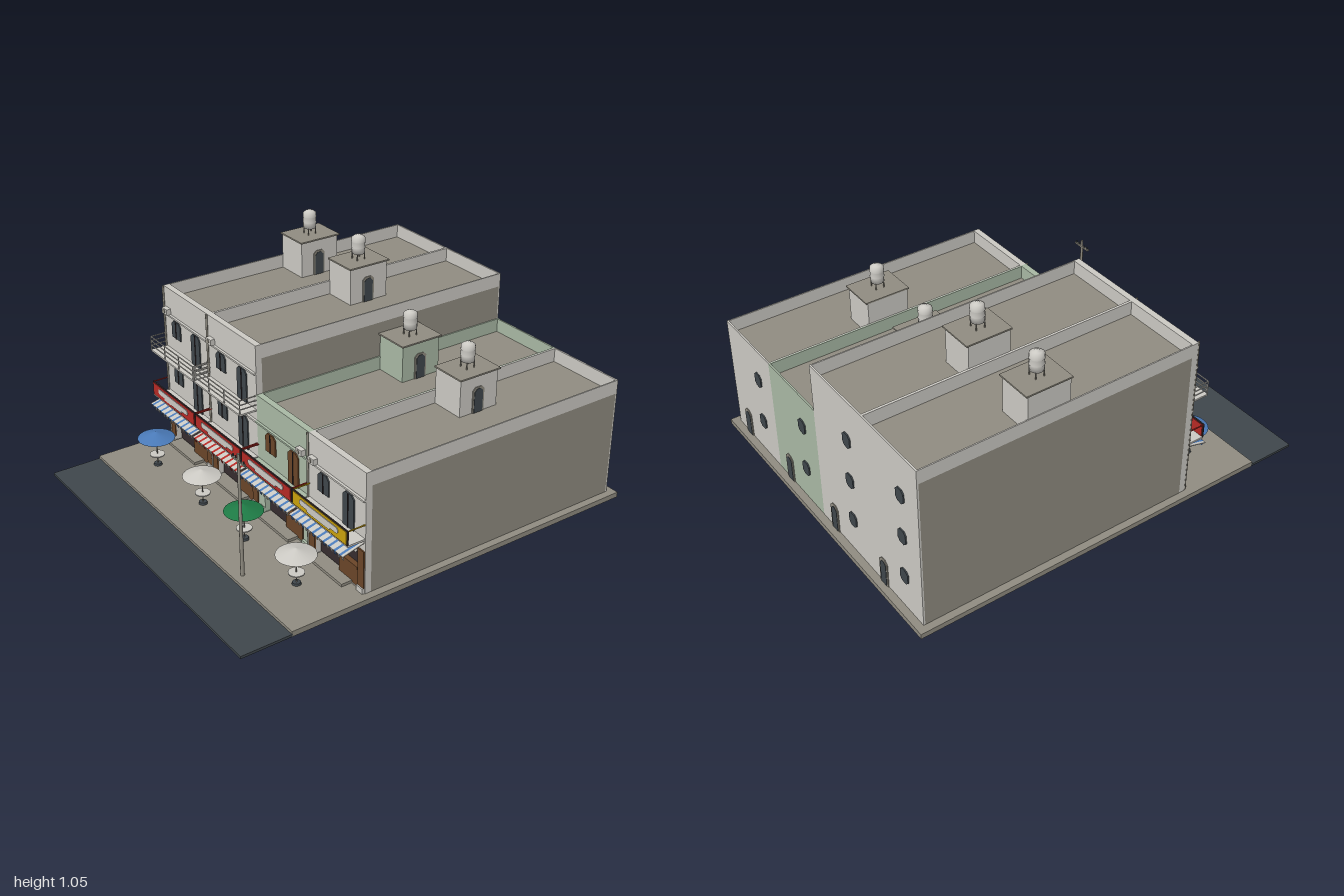
import * as THREE from 'three';

const mat = (name, color, side = THREE.FrontSide) => {
  const m = new THREE.MeshStandardMaterial({ color, side });
  m.name = name;
  return m;
};

export function createModel() {
  const M = {
    wall: mat('pale plaster', 0xcbc9c3),
    green: mat('green plaster', 0xa8b8a4),
    concrete: mat('concrete', 0x8f8b80),
    slate: mat('slate', 0x3f464b),
    dark: mat('dark interior', 0x352c2e),
    brown: mat('brown wood', 0x6a4528),
    red: mat('red', 0xb52a25),
    yellow: mat('yellow', 0xc9a00c),
    blue: mat('blue', 0x4a7ab8, THREE.DoubleSide),
    leaf: mat('deep green', 0x1e7a45, THREE.DoubleSide),
  };
  const model = new THREE.Group();
  model.name = 'shopRow';

  const add = (parent, name, geo, m) => {
    const mesh = new THREE.Mesh(geo, m);
    mesh.name = name;
    parent.add(mesh);
    return mesh;
  };
  // Box given by its minimum and maximum corners
  const box = (parent, name, m, x0, x1, y0, y1, z0, z1) => {
    const mesh = add(parent, name, new THREE.BoxGeometry(x1 - x0, y1 - y0, z1 - z0), m);
    mesh.position.set((x0 + x1) / 2, (y0 + y1) / 2, (z0 + z1) / 2);
    return mesh;
  };
  const cyl = (parent, name, m, rTop, rBottom, x, y0, y1, z, n = 16) => {
    const mesh = add(parent, name, new THREE.CylinderGeometry(rTop, rBottom, y1 - y0, n), m);
    mesh.position.set(x, (y0 + y1) / 2, z);
    return mesh;
  };
  // Plate with cut corners, standing on its base and centred on x = 0
  const plate = (parent, name, m, w, h, cutTop, cutBottom, depth = 0.006) => {
    const a = w / 2, t = cutTop, b = cutBottom;
    const pts = [[-a + b, 0], [a - b, 0], [a, b], [a, h - t], [a - t, h], [-a + t, h], [-a, h - t], [-a, b]];
    const s = new THREE.Shape(pts.map(p => new THREE.Vector2(...p)));
    return add(parent, name, new THREE.ExtrudeGeometry(s, { depth, bevelEnabled: false }), m);
  };

  // Ground
  box(model, 'road', M.slate, -0.82, 0.82, 0, 0.012, 0.76, 1);
  box(model, 'pavement', M.concrete, -0.82, 0.82, 0, 0.025, -1, 0.765);

  const W = 0.3925, BACK = -0.965, FRONT = 0.39;

  const addWindow = (g, name, m, x, y0, y1, w = 0.076) => {
    plate(g, name, m, w, y1 - y0, 0.016, 0).position.set(x, y0, FRONT);
    box(g, name + 'Mullion', M.dark, x - 0.002, x + 0.002, y0, y1, FRONT, FRONT + 0.009);
  };

  const addRoof = (g, roof, wallM) => {
    // Stair house with slab and side door
    const top = roof + 0.172;
    box(g, 'stairHouse', wallM, 0.004, 0.168, roof, top, -0.465, -0.262);
    box(g, 'stairHouseSlab', M.concrete, 0, 0.175, top, top + 0.007, -0.475, -0.255);
    for (const [name, m, w, h, d] of [['stairDoorFrame', M.concrete, 0.062, 0.12, 0.004], ['stairDoor', M.slate, 0.046, 0.112, 0.006]]) {
      const p = plate(g, name, m, w, h, 0.014, 0, d);
      p.rotation.y = Math.PI / 2;
      p.position.set(0.168, roof, -0.36);
    }
    // Water tank on legs
    const y = top + 0.007;
    for (const dx of [-0.02, 0.02]) for (const dz of [-0.02, 0.02])
      cyl(g, 'tankLeg', M.concrete, 0.003, 0.003, 0.088 + dx, y, y + 0.032, -0.363 + dz, 6);
    const profile = [[0, 0], [0.031, 0], [0.031, 0.026], [0.033, 0.028], [0.031, 0.03], [0.031, 0.054],
      [0.033, 0.056], [0.031, 0.058], [0.031, 0.075], [0.02, 0.083], [0.01, 0.085], [0.009, 0.089], [0, 0.09]];
    add(g, 'waterTank', new THREE.LatheGeometry(profile.map(p => new THREE.Vector2(...p)), 20), M.wall)
      .position.set(0.088, y + 0.03, -0.363);
  };

  const addAwning = (g, stripeM) => {
    const awning = new THREE.Group();
    awning.name = 'awning';
    const n = 30, w = (W - 0.012) / n;
    for (let i = 0; i < n; i++) {
      const m = i % 3 === 1 ? stripeM : M.wall, x = 0.006 + i * w;
      const strip = box(awning, 'awningStrip', m, x, x + w, -0.002, 0.002, 0, 0.114);
      strip.geometry.translate(0, 0, 0.057);
      strip.position.z = 0;
      // Hanging fringe with gaps
      if (i % 2) box(awning, 'awningFringe', m, x, x + w * 0.8, -0.02, 0, 0.11, 0.113);
    }
    awning.position.set(0, 0.268, FRONT - 0.004);
    awning.rotation.x = 0.25;
    g.add(awning);
  };

  const addUnit = (i, { tall, wallM, signM, stripeM, windowM, pilasterM, acX }) => {
    const g = new THREE.Group();
    g.name = 'shopHouse' + (i + 1);
    g.position.x = -0.785 + i * W;
    model.add(g);
    const top = tall ? 0.82 : 0.59, roof = top - 0.065;

    // Body, parapets and rear wall
    box(g, 'body', M.concrete, 0, W, 0.025, roof, BACK + 0.008, 0.36);
    box(g, 'rearWall', wallM, 0, W, 0.025, top, BACK, BACK + 0.008);
    box(g, 'leftParapet', wallM, W - 0.006, W, roof, top, BACK + 0.008, 0.36);
    box(g, 'rightParapet', wallM, 0, 0.006, roof, top, BACK + 0.008, 0.36);

    // Front wall with the shop opening
    const s = new THREE.Shape([[0, 0.025], [W, 0.025], [W, top], [0, top]].map(p => new THREE.Vector2(...p)));
    s.holes.push(new THREE.Path([[0.047, 0.03], [0.047, 0.228], [0.345, 0.228], [0.345, 0.03]].map(p => new THREE.Vector2(...p))));
    add(g, 'frontWall', new THREE.ExtrudeGeometry(s, { depth: 0.03, bevelEnabled: false }), wallM).position.z = 0.36;

    // Shopfront
    box(g, 'shopInterior', M.dark, 0.047, 0.345, 0.03, 0.228, 0.36, 0.364);
    box(g, 'shopCounter', M.brown, 0.21, 0.335, 0.03, 0.12, 0.364, 0.388);
    plate(g, 'shopPlaque', M.wall, 0.23, 0.036, 0.012, 0.012).position.set(0.195, 0.167, 0.364);
    for (const x of [0.004, 0.347]) {
      if (pilasterM !== wallM) box(g, 'pilaster', pilasterM, x, x + 0.042, 0.05, 0.226, FRONT, FRONT + 0.006);
      box(g, 'plinth', wallM, x, x + 0.042, 0.025, 0.05, FRONT, FRONT + 0.012);
    }
    box(g, 'shopStep', M.concrete, 0.06, 0.3, 0.025, 0.038, 0.37, 0.44);
    box(g, 'meterBox', M.concrete, 0.008, 0.03, 0.152, 0.178, FRONT, FRONT + 0.012);

    // First floor balcony with sign board
    box(g, 'balconySlab', wallM, 0.003, W - 0.003, 0.278, 0.287, FRONT, 0.475);
    box(g, 'signBacking', M.dark, 0.003, W - 0.003, 0.284, 0.354, 0.47, 0.476);
    box(g, 'signBoard', signM, 0.008, W - 0.008, 0.289, 0.349, 0.474, 0.479);
    box(g, 'signBack', signM, 0.008, W - 0.008, 0.289, 0.349, 0.467, 0.471);
    plate(g, 'signPanel', M.wall, 0.27, 0.026, 0.008, 0.008, 0.003).position.set(W / 2, 0.312, 0.479);
    plate(g, 'signPanelLower', M.wall, 0.16, 0.011, 0.003, 0.003, 0.003).position.set(W / 2, 0.302, 0.479);
    for (const x of [0.003, W - 0.007])
      box(g, 'balconySideRail', signM, x, x + 0.004, 0.349, 0.354, FRONT, 0.47);
    addAwning(g, stripeM);

    // Windows, balcony doors and ledges
    addWindow(g, 'window', windowM, 0.108, 0.355, 0.445);
    addWindow(g, 'balconyDoor', windowM, 0.281, 0.287, 0.445);
    box(g, 'ledge', wallM, 0, W, 0.46, 0.468, FRONT, FRONT + 0.012);
    if (tall) {
      addWindow(g, 'upperWindow', windowM, 0.108, 0.59, 0.674);
      addWindow(g, 'upperBalconyDoor', windowM, 0.281, 0.52, 0.674);
      box(g, 'upperLedge', wallM, 0, W, 0.685, 0.693, FRONT, FRONT + 0.012);
      box(g, 'upperBalconySlab', wallM, 0.003, W - 0.003, 0.51, 0.518, FRONT, 0.475);
      for (const y of [0.54, 0.562, 0.584]) {
        box(g, 'frontRail', M.wall, 0.003, W - 0.003, y - 0.002, y + 0.002, 0.471, 0.475);
        for (const x of [0.003, W - 0.007]) box(g, 'sideRail', M.wall, x, x + 0.004, y - 0.002, y + 0.002, FRONT, 0.471);
      }
      for (let k = 0; k < 4; k++) {
        const x = 0.003 + k * (W - 0.01) / 3;
        box(g, 'railPost', M.wall, x, x + 0.004, 0.518, 0.584, 0.471, 0.475);
      }
    }

    // Air conditioner
    const ay = tall ? 0.693 : 0.468;
    box(g, 'airConditioner', M.wall, acX, acX + 0.042, ay, ay + 0.028, FRONT, 0.412);
    const fan = cyl(g, 'airConditionerFan', M.concrete, 0.01, 0.01, acX + 0.018, ay + 0.012, ay + 0.016, 0.412);
    fan.rotation.x = Math.PI / 2;

    // Rear door and windows
    const rear = (name, m, x, y, w, h, t, b, d) => {
      const p = plate(g, name, m, w, h, t, b, d);
      p.rotation.y = Math.PI;
      p.position.set(x, y, BACK);
    };
    rear('rearDoorFrame', M.concrete, 0.286, 0.025, 0.06, 0.135, 0.018, 0, 0.004);
    rear('rearDoor', M.slate, 0.286, 0.025, 0.042, 0.122, 0.013, 0, 0.006);
    for (const y of tall ? [0.165, 0.375, 0.585] : [0.165, 0.395])
      rear('rearWindow', M.slate, 0.122, y, 0.056, 0.068, 0.014, 0.014, 0.006);

    addRoof(g, roof, wallM);
  };

  const pale = { wallM: M.wall, windowM: M.slate, pilasterM: M.brown };
  [
    { ...pale, tall: true, signM: M.red, stripeM: M.blue, acX: 0.015 },
    { ...pale, tall: true, signM: M.red, stripeM: M.red, acX: 0.015 },
    { wallM: M.green, windowM: M.brown, pilasterM: M.green, tall: false, signM: M.red, stripeM: M.blue, acX: 0.325 },
    { ...pale, tall: false, signM: M.yellow, stripeM: M.blue, acX: 0.02 },
  ].forEach((u, i) => addUnit(i, u));

  // Drain pipes between the houses
  for (const [x, h] of [[-0.779, 0.82], [-0.39, 0.82], [0.392, 0.59]])
    cyl(model, 'drainPipe', M.concrete, 0.005, 0.005, x, 0.025, h, 0.396, 8);

  // Tables with umbrellas
  [[-0.592, M.blue], [-0.178, M.wall], [0.17, M.leaf], [0.568, M.wall]].forEach(([x, m], i) => {
    const t = new THREE.Group();
    t.name = 'umbrellaTable' + (i + 1);
    t.position.set(x, 0, 0.575);
    model.add(t);
    cyl(t, 'umbrellaBase', M.slate, 0.018, 0.02, 0, 0.025, 0.035, 0);
    cyl(t, 'umbrellaPole', M.concrete, 0.003, 0.003, 0, 0.035, 0.195, 0, 8);
    cyl(t, 'tableTop', M.wall, 0.035, 0.035, 0, 0.078, 0.083, 0, 20);
    cyl(t, 'umbrellaCanopy', m, 0.002, 0.087, 0, 0.168, 0.198, 0, 24);
  });

  // Utility pole
  cyl(model, 'utilityPole', M.concrete, 0.006, 0.009, 0.39, 0.025, 0.6, 0.722, 10);
  box(model, 'poleCrossarm', M.concrete, 0.342, 0.438, 0.564, 0.572, 0.717, 0.727);
  for (const x of [0.35, 0.37, 0.41, 0.43]) cyl(model, 'insulator', M.slate, 0.003, 0.004, x, 0.572, 0.582, 0.722, 8);

  return model;
}
